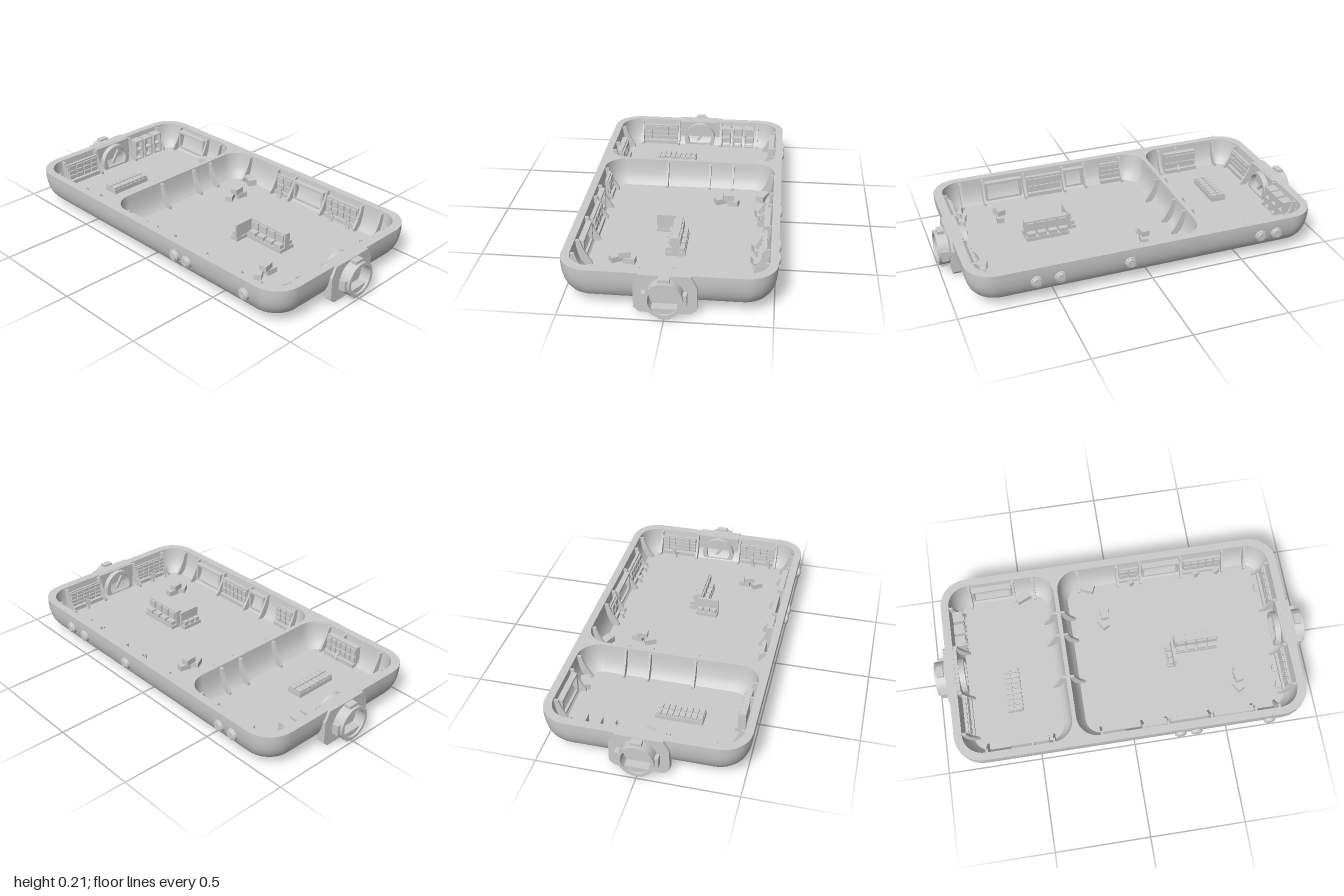
import * as THREE from 'three';

const mat = new THREE.MeshStandardMaterial({ color: 0xcccccc, side: THREE.DoubleSide });
const FLOOR = 0.066, TOP = 0.205;

function add(parent, name, geo, x = 0, y = 0, z = 0) {
  const m = new THREE.Mesh(geo, mat);
  m.name = name;
  m.position.set(x, y, z);
  parent.add(m);
  return m;
}
// box whose y is its underside
const box = (p, name, w, h, d, x, y, z) => add(p, name, new THREE.BoxGeometry(w, h, d), x, y + h / 2, z);

function group(parent, name, x = 0, y = 0, z = 0, turn = 0) {
  const g = new THREE.Group();
  g.name = name;
  g.position.set(x, y, z);
  g.rotation.y = turn;
  parent.add(g);
  return g;
}

// rounded rectangle in plan, as [x, z] points
function outline({ cz, hx, hz, r }, inset) {
  const pts = [], n = 10, R = r - inset * 0.6;
  for (let q = 0; q < 4; q++) {
    const sx = q === 0 || q === 3 ? 1 : -1, sz = q < 2 ? 1 : -1;
    for (let i = 0; i <= n; i++) {
      const a = (q + i / n) * Math.PI / 2;
      pts.push([sx * (hx - inset - R) + R * Math.cos(a), cz + sz * (hz - inset - R) + R * Math.sin(a)]);
    }
  }
  return pts;
}

// wall skinned through [inset, y] levels
function loft(rect, levels) {
  const pos = [], idx = [];
  let n = 0;
  for (const [inset, y] of levels) {
    const ring = outline(rect, inset);
    n = ring.length;
    for (const [x, z] of ring) pos.push(x, y, z);
  }
  for (let j = 0; j < levels.length - 1; j++) for (let i = 0; i < n; i++) {
    const a = j * n + i, b = j * n + (i + 1) % n;
    idx.push(a, a + n, b, b, a + n, b + n);
  }
  const g = new THREE.BufferGeometry();
  g.setAttribute('position', new THREE.Float32BufferAttribute(pos, 3));
  g.setIndex(idx);
  g.computeVertexNormals();
  return g;
}

// flat horizontal face with optional openings
function plate(rect, inset, holes = []) {
  const toPts = (r, i) => outline(r, i).map(([x, z]) => new THREE.Vector2(x, -z));
  const s = new THREE.Shape(toPts(rect, inset));
  s.holes = holes.map(h => new THREE.Path(toPts(h, 0)));
  return new THREE.ShapeGeometry(s).rotateX(-Math.PI / 2);
}

const extrude = (shape, depth) => new THREE.ExtrudeGeometry(shape, { depth, bevelEnabled: false, curveSegments: 32 });
const poly = pts => new THREE.Shape(pts.map(p => new THREE.Vector2(...p)));

// curved bracket standing out from a wall
function rib(p, x) {
  const s = poly([[0, FLOOR], [0, 0.198], [0.022, 0.198]]);
  s.quadraticCurveTo(0.036, 0.14, 0.078, 0.082);
  s.lineTo(0.078, FLOOR);
  add(p, 'wallRib', extrude(s, 0.012).rotateY(-Math.PI / 2), x + 0.006);
}

// wall cabinet with a grid of raised doors
function cabinet(p, x, w, cols, rows, depth = 0.03) {
  const g = group(p, 'wallCabinet', x, FLOOR, 0);
  box(g, 'cabinetBody', w, 0.115, depth, 0, 0, 0.02 + depth / 2);
  box(g, 'cabinetBase', w, 0.022, 0.025, 0, 0, 0.03 + depth);
  const cw = w / cols, ch = 0.088 / rows;
  for (let i = 0; i < cols; i++) for (let j = 0; j < rows; j++)
    box(g, 'cabinetDoor', cw * 0.8, ch * 0.78, 0.01, -w / 2 + (i + 0.5) * cw, 0.025 + j * ch, 0.024 + depth);
}

function locker(p, x) {
  const g = group(p, 'locker', x, FLOOR, 0);
  box(g, 'lockerBack', 0.056, 0.12, 0.02, 0, 0, 0.025);
  for (const s of [-1, 1]) box(g, 'lockerSide', 0.007, 0.12, 0.04, s * 0.025, 0, 0.05);
  for (const y of [0, 0.055, 0.113]) box(g, 'lockerShelf', 0.056, 0.007, 0.04, 0, y, 0.05);
}

function windowFrame(p, x, w) {
  const g = group(p, 'windowFrame', x, FLOOR, 0);
  for (const s of [-1, 1]) box(g, 'frameSide', 0.014, 0.11, 0.03, s * (w / 2 - 0.007), 0.01, 0.025);
  for (const y of [0.01, 0.108]) box(g, 'frameRail', w, 0.012, 0.03, 0, y, 0.025);
}

function chair(p, x, d, turn) {
  const g = group(p, 'chair', x, FLOOR, d, turn);
  add(g, 'chairPost', new THREE.CylinderGeometry(0.004, 0.012, 0.03, 8), 0, 0.015, 0);
  box(g, 'chairSeat', 0.03, 0.006, 0.026, 0, 0.028, 0);
  box(g, 'chairBack', 0.026, 0.034, 0.006, 0, 0.032, 0.014);
}

// cargo boxes: [x, z, turn, level]
function crates(p, x, z, flip) {
  const g = group(p, 'crates', x, FLOOR, z, flip);
  for (const [cx, cz, t, l] of [[-0.035, -0.005, 0.5, 0], [0.035, 0.012, -0.2, 0], [0.01, 0.005, 0.1, 1]])
    box(g, 'crate', 0.06, 0.03, 0.04, cx, l * 0.03, cz).rotation.y = t;
}

// docking port facing +z
function dock(p, turn) {
  const g = group(p, 'dockingPort', 0, 0.105, 0, turn);
  const circle = (r, cy = 0) => new THREE.Path().absarc(0, cy, r, 0, Math.PI * 2);
  const flange = poly([[-0.12, 0.1], [-0.148, 0.045], [-0.148, -0.073], [-0.121, -0.098],
    [0.121, -0.098], [0.148, -0.073], [0.148, 0.045], [0.12, 0.1]]);
  add(g, 'dockFlange', extrude(flange, 0.04), 0, 0, 0.903);
  const ring = new THREE.Shape().absarc(0, 0, 0.09, 0, Math.PI * 2);
  ring.holes.push(circle(0.074));
  const ringGeo = extrude(ring, 0.057);
  add(g, 'dockRing', ringGeo, 0, 0, 0.943);
  const sill = new THREE.Shape().absarc(0, 0, 0.075, Math.PI + 0.65, Math.PI * 2 - 0.65);
  add(g, 'dockSill', extrude(sill, 0.045), 0, 0, 0.943);
  for (const s of [-1, 1]) {
    box(g, 'dockSideLatch', 0.022, 0.055, 0.035, s * 0.094, -0.0275, 0.968);
    box(g, 'dockEndLatch', 0.054, 0.016, 0.035, 0, s * 0.0965 - 0.008, 0.968);
  }
  // inner hatch, cut off by the floor
  const arch = (r, a) => new THREE.Shape().absarc(0, 0, r, -a, Math.PI + a);
  add(g, 'innerFrame', extrude(poly([[-0.12, 0.098], [-0.12, -0.04], [0.12, -0.04], [0.12, 0.098]]), 0.05), 0, 0, 0.87);
  const collar = arch(0.094, 0.42);
  collar.holes.push(new THREE.Path().absarc(0, 0.008, 0.07, -0.55, Math.PI + 0.55));
  add(g, 'innerCollar', extrude(collar, 0.035), 0, 0, 0.84);
  box(g, 'hatchBrace', 0.016, 0.12, 0.012, 0, -0.06, 0.863).rotation.z = 0.6;
}

export function createModel() {
  const root = new THREE.Group();
  root.name = 'habitatModule';

  // hull shell with two open rooms
  const hull = { cz: 0, hx: 0.512, hz: 0.93, r: 0.145 };
  const rooms = [{ cz: -0.6, hx: 0.472, hz: 0.288, r: 0.11 }, { cz: 0.297, hx: 0.472, hz: 0.587, r: 0.11 }];
  add(root, 'hullSide', loft(hull, [[0.037, 0.057], [0.022, 0.078], [0.011, 0.105], [0.004, 0.135], [0, 0.17], [0, TOP]]));
  add(root, 'hullUnderside', plate(hull, 0.037).rotateX(Math.PI), 0, 0.057);
  add(root, 'hullRim', plate(hull, 0, rooms), 0, TOP);
  for (const r of rooms) {
    add(root, 'roomWall', loft(r, [[0, TOP], [0.004, 0.165], [0.012, 0.125], [0.026, 0.09], [0.048, FLOOR]]));
    add(root, 'roomFloor', plate(r, 0.048), 0, FLOOR);
  }

  // wall frames: local x runs along the wall, local z into the room
  const leftW = group(root, 'rightSideWall', -0.472, 0, 0, Math.PI / 2);
  const rightW = group(root, 'leftSideWall', 0.472, 0, 0, -Math.PI / 2);
  const backW = group(root, 'backWall', 0, 0, -0.888);
  const frontW = group(root, 'frontWall', 0, 0, 0.884, Math.PI);
  const divF = group(root, 'dividerFront', 0, 0, -0.29);
  const divB = group(root, 'dividerBack', 0, 0, -0.312, Math.PI);

  for (const z of [-0.77, -0.53, -0.42, -0.17, 0.05, 0.18, 0.41, 0.645, 0.77]) {
    rib(leftW, -z);
    rib(rightW, z);
  }
  for (const w of [backW, frontW]) for (const x of [-0.355, -0.13, 0.13, 0.355]) rib(w, x);
  for (const x of [-0.13, 0.11, 0.24]) {
    rib(divF, x);
    rib(divB, -x);
  }

  // equipment along the walls
  cabinet(leftW, 0.545, 0.2, 6, 2);
  cabinet(leftW, 0.105, 0.12, 3, 3, 0.015);
  windowFrame(leftW, -0.115, 0.12);
  cabinet(leftW, -0.295, 0.2, 6, 2, 0.02);
  windowFrame(leftW, -0.53, 0.21);
  windowFrame(rightW, -0.65, 0.22);
  cabinet(rightW, 0.115, 0.11, 2, 2, 0.01);
  windowFrame(rightW, 0.295, 0.21);
  cabinet(rightW, 0.53, 0.21, 5, 2, 0.015);
  cabinet(backW, -0.243, 0.21, 4, 3, 0.015);
  for (const x of [0.165, 0.235, 0.308]) locker(backW, x);
  cabinet(frontW, -0.243, 0.21, 5, 4, 0.01);
  cabinet(frontW, 0.243, 0.21, 5, 4, 0.01);
  for (const z of [0.12, 0.49, 0.605]) chair(rightW, z, 0.075, 0.4);
  for (const x of [-0.26, 0.225, 0.32]) chair(frontW, x, 0.075, -0.4);
  box(rightW, 'leaningCase', 0.08, 0.035, 0.045, -0.485, FLOOR, 0.06).rotation.y = 0.4;
  box(rightW, 'leaningCase', 0.08, 0.035, 0.045, -0.125, FLOOR, 0.06).rotation.y = -0.4;

  // planter bench, two rows of eight trays
  const bench = group(root, 'trayBench', -0.12, FLOOR, -0.603);
  box(bench, 'benchBase', 0.24, 0.025, 0.084, 0, 0, 0);
  for (let i = 0; i < 8; i++) for (const s of [-1, 1])
    box(bench, 'tray', 0.025, 0.012, 0.035, -0.105 + i * 0.03, 0.025, s * 0.021);

  // central console: tall spine, drawers on both sides
  const con = group(root, 'centralConsole', 0, FLOOR, 0.413);
  box(con, 'consoleBase', 0.1, 0.02, 0.235, 0, 0, 0);
  box(con, 'consoleSpine', 0.035, 0.1, 0.235, 0, 0, 0);
  for (const s of [-1, 1]) for (let i = 0; i < 4; i++) {
    box(con, 'consoleDrawer', 0.03, 0.022, 0.045, s * 0.032, 0.02, -0.087 + i * 0.058);
    box(con, 'consoleScreen', 0.012, 0.04, 0.045, s * 0.021, 0.052, -0.087 + i * 0.058);
  }
  const side = group(root, 'sideConsole', -0.06, FLOOR, 0.268);
  box(side, 'sideConsoleBase', 0.12, 0.02, 0.046, 0, 0, 0);
  box(side, 'sideConsolePanel', 0.12, 0.095, 0.014, 0, 0, 0.012);
  for (let i = 0; i < 3; i++) box(side, 'sideConsoleDrawer', 0.028, 0.022, 0.024, -0.038 + i * 0.038, 0.02, -0.006);

  crates(root, 0.22, -0.06, 0);
  crates(root, -0.25, 0.6, 0.1);

  // round portholes on both flanks
  const port = (x, z) => {
    const g = group(root, 'porthole', x, 0.13, z, x > 0 ? 0 : Math.PI);
    const turn = geo => geo.rotateZ(-Math.PI / 2);
    add(g, 'portholeRim', turn(new THREE.CylinderGeometry(0.029, 0.034, 0.02, 24)), 0.004);
    add(g, 'portholeGlass', turn(new THREE.CylinderGeometry(0.02, 0.026, 0.006, 24)), 0.016);
  };
  for (const z of [0.605, 0.485, 0.122, -0.598, -0.688]) port(0.505, z);
  for (const z of [0.24, 0.325, 0.715]) port(-0.505, z);

  dock(root, 0);
  dock(root, Math.PI);
  return root;
}
